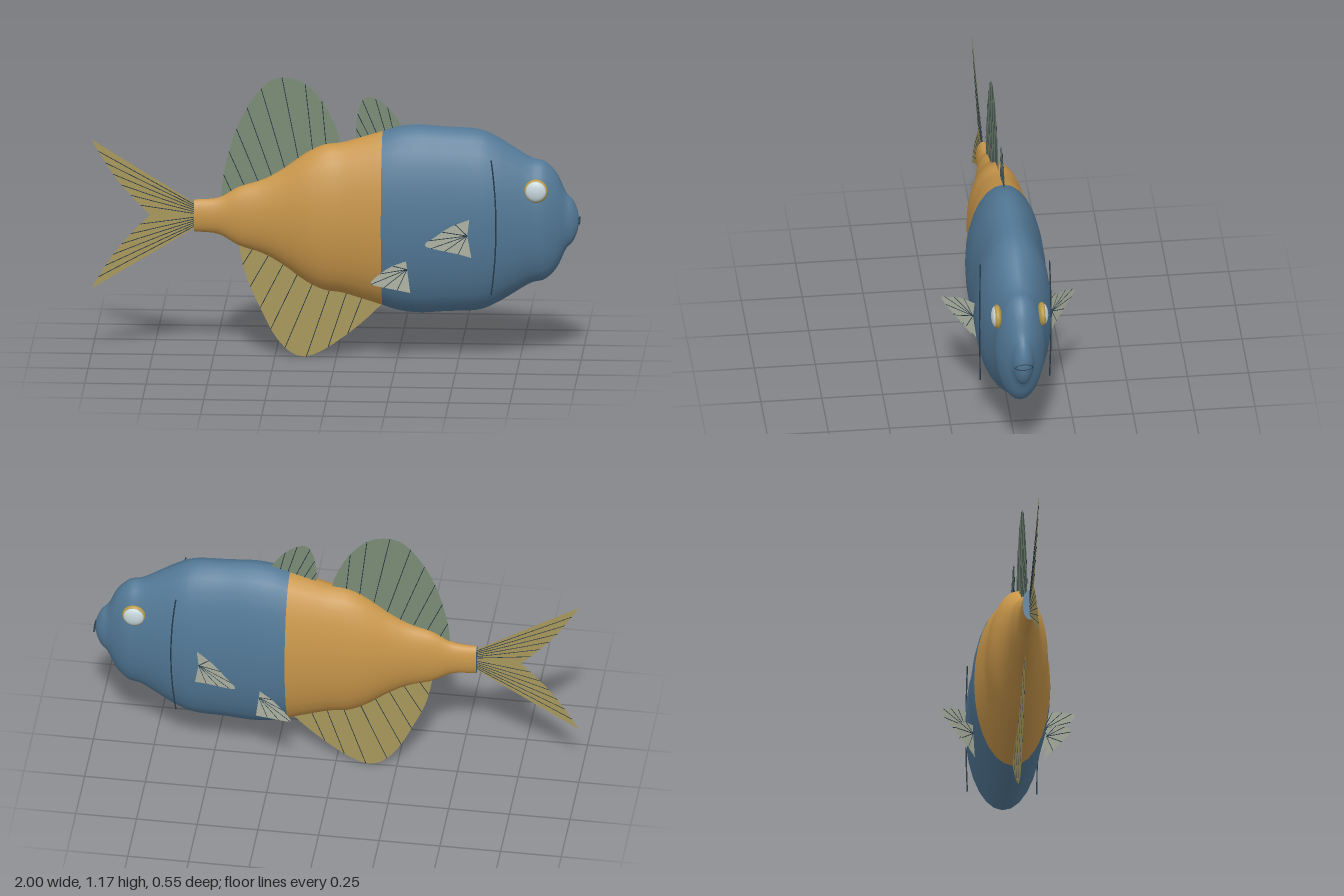
import * as THREE from 'three';

const paint = (name, color, side = THREE.FrontSide) => {
  const m = new THREE.MeshStandardMaterial({ color, side });
  m.name = name;
  return m;
};
const MID = 0.587; // height of the body axis

export function createModel() {
  const fish = new THREE.Group();
  fish.name = 'fish';
  const blue = paint('slate blue', 0x527896);
  const orange = paint('orange', 0xc8964a);
  const green = paint('dorsal green', 0x7a8c74, THREE.DoubleSide);
  const olive = paint('olive gold', 0xa8985a, THREE.DoubleSide);
  const pale = paint('pale grey', 0xb4baa8, THREE.DoubleSide);
  const dark = paint('dark line', 0x283c4c);
  const gold = paint('eye gold', 0xb89a4a);
  const white = paint('eye white', 0xc8d8de);

  const add = (name, geometry, material, parent = fish) => {
    const mesh = new THREE.Mesh(geometry, material);
    mesh.name = name;
    parent.add(mesh);
    return mesh;
  };

  // Body: elliptical sections given as x, half height, half width
  const stations = [
    [-0.58, 0.067, 0.029], [-0.48, 0.077, 0.035], [-0.4, 0.122, 0.05], [-0.3, 0.155, 0.066],
    [-0.22, 0.2, 0.086], [-0.12, 0.272, 0.115], [-0.05, 0.305, 0.124], [0.02, 0.315, 0.128],
    [0.1, 0.338, 0.141], [0.19, 0.366, 0.156], [0.25, 0.385, 0.16], [0.33, 0.395, 0.16],
    [0.45, 0.388, 0.155], [0.59, 0.378, 0.157], [0.66, 0.347, 0.146], [0.72, 0.31, 0.13],
    [0.8, 0.262, 0.108], [0.85, 0.249, 0.099], [0.9, 0.2, 0.074], [0.94, 0.117, 0.047],
    [0.965, 0.09, 0.036], [0.985, 0.045, 0.019], [0.99, 0.012, 0.006],
  ];
  const STEPS = 4, SIDES = 28, SPLIT = 9;
  const loft = new THREE.CatmullRomCurve3(stations.map((s) => new THREE.Vector3(...s)));
  const rows = (stations.length - 1) * STEPS;
  const pos = [], index = [];
  for (let i = 0; i <= rows; i++) {
    const s = loft.getPoint(i / rows);
    for (let j = 0; j < SIDES; j++) {
      const a = (j / SIDES) * Math.PI * 2;
      pos.push(s.x, MID + s.y * Math.cos(a), s.z * Math.sin(a));
    }
  }
  for (let i = 0; i < rows; i++) {
    for (let j = 0; j < SIDES; j++) {
      const a = i * SIDES + j, b = i * SIDES + ((j + 1) % SIDES);
      index.push(a, b, a + SIDES, b, b + SIDES, a + SIDES);
    }
  }
  const splitAt = SPLIT * STEPS * SIDES * 6;
  const sideEnd = index.length;
  pos.push(0.992, MID, 0); // nose tip
  for (let j = 0; j < SIDES; j++) {
    index.push(rows * SIDES + j, rows * SIDES + ((j + 1) % SIDES), pos.length / 3 - 1);
  }
  const body = new THREE.BufferGeometry();
  body.setAttribute('position', new THREE.Float32BufferAttribute(pos, 3));
  body.setIndex(index);
  body.computeVertexNormals();
  body.addGroup(0, splitAt, 0);
  body.addGroup(splitAt, sideEnd - splitAt + SIDES * 3, 1);
  add('body', body, [orange, blue]);

  // Flat end of the tail root
  const cap = add('tailRootCap', new THREE.CircleGeometry(1, SIDES), blue);
  cap.scale.set(0.029, 0.067, 1);
  cap.rotation.y = -Math.PI / 2;
  cap.position.set(-0.58, MID, 0);

  // Flat fin: curved outer edge, straight base from a to b, thin dark rays
  function fin(name, edgePoints, a, b, material, rays, lean = 1) {
    const group = new THREE.Group();
    group.name = name;
    const edge = new THREE.SplineCurve(edgePoints.map((p) => new THREE.Vector2(...p)));
    const from = new THREE.Vector2(...a), to = new THREE.Vector2(...b);
    const shape = new THREE.Shape([from, ...edge.getSpacedPoints(32), to]);
    add(name + 'Web', new THREE.ShapeGeometry(shape), material, group);
    for (let i = 1; i <= rays; i++) {
      const t = i / (rays + 1);
      const p = from.clone().lerp(to, t), q = edge.getPointAt(t * lean);
      const d = q.clone().sub(p);
      const ray = add(name + 'Ray', new THREE.CylinderGeometry(0.0016, 0.0016, d.length(), 4), dark, group);
      ray.position.set((p.x + q.x) / 2, (p.y + q.y) / 2, 0);
      ray.rotation.z = Math.atan2(d.y, d.x) - Math.PI / 2;
    }
    fish.add(group);
    return group;
  }

  // Fins on the centre line
  fin('rearDorsalFin', [[-0.47, 0.66], [-0.46, 0.76], [-0.42, 0.92], [-0.36, 1.05], [-0.28, 1.15],
    [-0.2, 1.17], [-0.12, 1.14], [-0.05, 1.06], [0, 0.96], [0.02, 0.89]],
  [-0.46, 0.62], [0.02, 0.82], green, 8, 0.9);
  fin('frontDorsalFin', [[0.08, 0.9], [0.083, 0.99], [0.1, 1.065], [0.13, 1.095], [0.18, 1.075],
    [0.23, 1.03], [0.27, 0.97]], [0.09, 0.88], [0.27, 0.93], green, 5, 0.9);
  fin('analFin', [[-0.4, 0.48], [-0.37, 0.34], [-0.31, 0.2], [-0.25, 0.085], [-0.19, 0.02],
    [-0.13, 0], [-0.06, 0.025], [0.03, 0.085], [0.12, 0.16], [0.19, 0.23]],
  [-0.39, 0.5], [0.19, 0.28], olive, 8, 0.9);

  // Forked tail, two mirrored lobes
  for (const s of [1, -1]) {
    const at = (x, y) => [x, MID + s * y];
    fin(s > 0 ? 'upperTailLobe' : 'lowerTailLobe',
      [at(-1, 0.313), at(-0.945, 0.22), at(-0.89, 0.14), at(-0.82, 0.06), at(-0.76, 0)],
      at(-0.575, 0.05), at(-0.575, 0), olive, 6);
  }

  // Paired fins, swept out and back
  for (const s of [1, -1]) {
    const side = s > 0 ? 'right' : 'left';
    const pectoral = fin(side + 'PectoralFin', [[0.01, 0.067], [0.1, 0.048], [0.18, 0.012], [0.222, -0.008],
      [0.205, -0.025], [0.13, -0.05], [0.06, -0.072], [0, -0.095]], [0.02, 0], [0.02, 0.001], pale, 6);
    pectoral.position.set(0.56, 0.555, s * 0.15);
    pectoral.rotation.y = Math.atan2(-s * 0.56, -0.83);
    const pelvic = fin(side + 'PelvicFin', [[0.02, 0.05], [0.09, 0.035], [0.15, 0.005], [0.183, -0.02],
      [0.165, -0.035], [0.1, -0.055], [0, -0.085]], [0.015, 0.015], [0.015, 0.016], pale, 5);
    pelvic.position.set(0.31, 0.393, s * 0.142);
    pelvic.rotation.y = Math.atan2(-s * 0.52, -0.87);

    // Gill line
    const gill = new THREE.QuadraticBezierCurve3(new THREE.Vector3(0.64, 0.87, s * 0.142),
      new THREE.Vector3(0.68, MID, s * 0.15), new THREE.Vector3(0.64, 0.305, s * 0.142));
    add(side + 'GillLine', new THREE.TubeGeometry(gill, 24, 0.003, 5), dark);

    // Eye: gold rim with a pale lens
    const rim = add(side + 'EyeRim', new THREE.SphereGeometry(1, 24, 16), gold);
    rim.scale.set(0.049, 0.049, 0.021);
    rim.position.set(0.82, 0.73, s * 0.092);
    const lens = add(side + 'EyeLens', new THREE.SphereGeometry(1, 24, 16), white);
    lens.scale.set(0.043, 0.043, 0.018);
    lens.position.set(0.82, 0.73, s * 0.099);
  }

  // Mouth ring
  const mouth = add('mouth', new THREE.TorusGeometry(0.036, 0.003, 6, 28), dark);
  mouth.rotation.y = Math.PI / 2;
  mouth.scale.y = 0.36;
  mouth.position.set(0.993, MID, 0);

  return fish;
}
